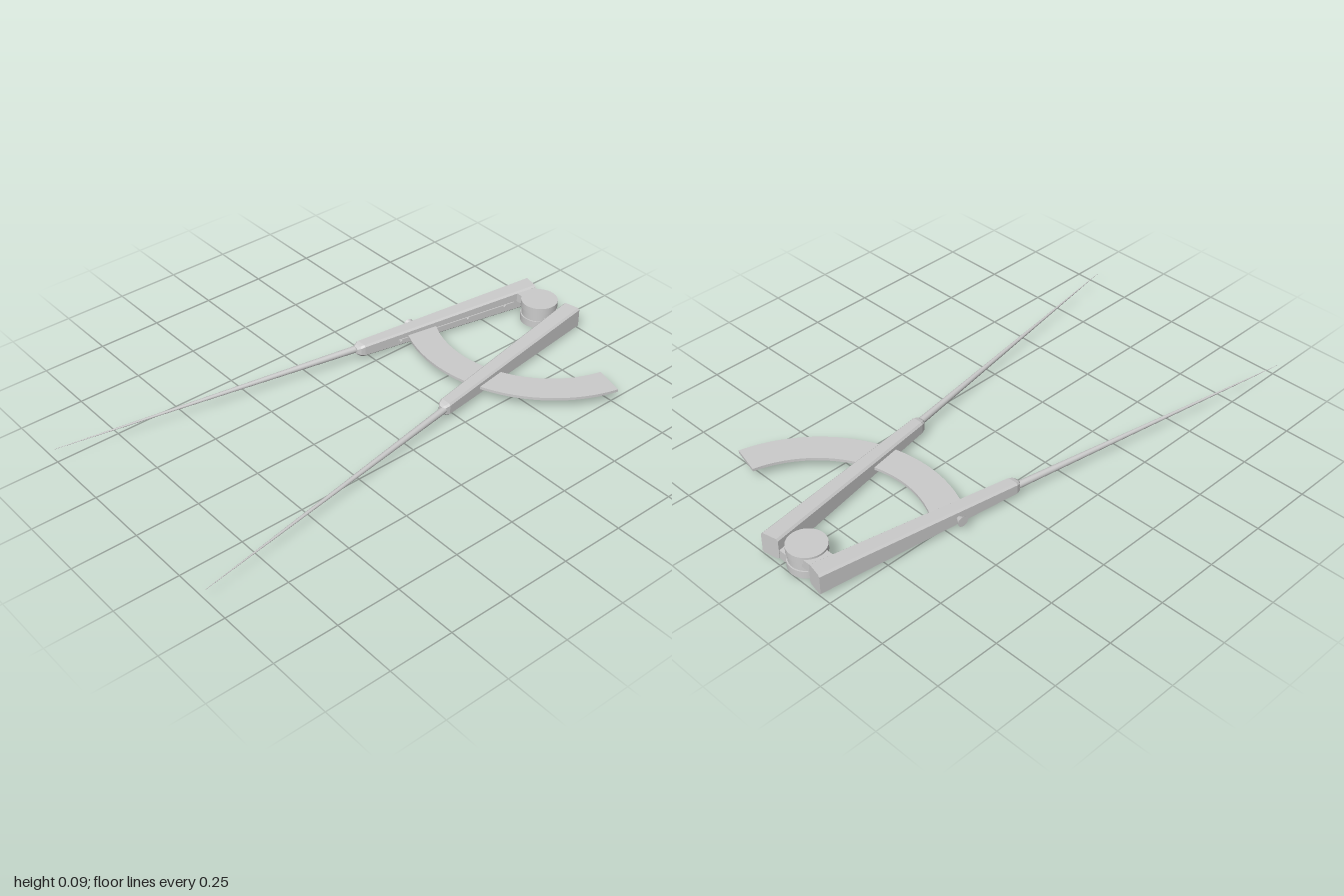
import * as THREE from 'three';

const AXIS = -0.058; // mirror axis of the two legs, through the hinge
const MID = 0.05;    // height of the middle plane
const HINGE_Z = -0.928;

const material = new THREE.MeshStandardMaterial({ color: 0xcccccc });

function add(parent, name, geometry) {
  const mesh = new THREE.Mesh(geometry, material);
  mesh.name = name;
  parent.add(mesh);
  return mesh;
}

// Cylinder or cone running from point a to point b
function rod(parent, name, a, b, rA, rB, sides = 16) {
  const dir = b.clone().sub(a);
  const mesh = add(parent, name, new THREE.CylinderGeometry(rB, rA, dir.length(), sides));
  mesh.position.copy(a).addScaledVector(dir, 0.5);
  mesh.quaternion.setFromUnitVectors(new THREE.Vector3(0, 1, 0), dir.normalize());
  return mesh;
}

// Tapered bar with chamfered edges, lofted through cross-sections
function legGeometry(side) {
  // [outer z, outer offset, inner z, inner offset, half height]
  const sections = [
    [-1.0, 0.148, -0.985, 0.078, 0.043],
    [-0.215, 0.264, -0.215, 0.213, 0.025],
    [-0.2, 0.261, -0.2, 0.219, 0.021],
    [-0.19, 0.252, -0.19, 0.23, 0.014],
  ];
  const positions = [];
  for (const [zo, uo, zi, ui, h] of sections) {
    const c = Math.min(0.007, h * 0.4);
    const ring = [
      [uo, -h + c], [uo, h - c], [uo - c, h], [ui + c, h],
      [ui, h - c], [ui, -h + c], [ui + c, -h], [uo - c, -h],
    ];
    for (const [u, y] of ring) {
      const t = (u - ui) / (uo - ui);
      positions.push(AXIS + side * u, MID + y, zi + (zo - zi) * t);
    }
  }
  const index = [];
  const face = (a, b, c) => (side > 0 ? index.push(a, b, c) : index.push(a, c, b));
  for (let i = 0; i < sections.length - 1; i++) {
    for (let j = 0; j < 8; j++) {
      const a = i * 8 + j, b = i * 8 + (j + 1) % 8;
      face(a, b, b + 8);
      face(a, b + 8, a + 8);
    }
  }
  const last = (sections.length - 1) * 8;
  for (let j = 1; j < 7; j++) {
    face(0, j + 1, j);
    face(last, last + j, last + j + 1);
  }
  const geometry = new THREE.BufferGeometry();
  geometry.setAttribute('position', new THREE.Float32BufferAttribute(positions, 3));
  geometry.setIndex(index);
  const flat = geometry.toNonIndexed();
  flat.computeVertexNormals();
  return flat;
}

// Flat curved bar
function arcGeometry() {
  const start = THREE.MathUtils.degToRad(14), end = THREE.MathUtils.degToRad(120);
  const shape = new THREE.Shape();
  shape.absarc(0, 0, 0.543, start, end, false);
  shape.absarc(0, 0, 0.423, end, start, true);
  shape.closePath();
  const geometry = new THREE.ExtrudeGeometry(shape, { depth: 0.011, bevelEnabled: false, curveSegments: 32 });
  geometry.rotateX(Math.PI / 2); // shape y becomes +z, thickness goes down
  geometry.translate(-0.01, 0.058, -0.895);
  return geometry;
}

export function createModel() {
  const model = new THREE.Group();
  model.name = 'dividers';

  // Legs, needles and hinge lugs, mirrored about the hinge
  for (const side of [1, -1]) {
    const leg = new THREE.Group();
    leg.name = side > 0 ? 'leftLeg' : 'rightLeg';
    model.add(leg);
    add(leg, 'legBar', legGeometry(side));
    rod(leg, 'needle',
      new THREE.Vector3(AXIS + side * 0.243, MID, -0.23),
      new THREE.Vector3(AXIS + side * 0.457, MID, 1.0), 0.014, 0.0008);
    // one lug sits high, the other low, so they overlap at the pivot
    const lug = add(leg, 'hingeLug', new THREE.BoxGeometry(0.11, 0.036, 0.085));
    lug.position.set(AXIS + side * 0.05, side > 0 ? 0.028 : 0.067, -0.94);
  }

  // Hinge drum: two caps on a slightly narrower core
  const hinge = new THREE.Group();
  hinge.name = 'hinge';
  hinge.position.set(AXIS, 0, HINGE_Z);
  model.add(hinge);
  for (const [name, radius, y0, y1] of [
    ['bottomCap', 0.072, 0.003, 0.032],
    ['core', 0.067, 0.03, 0.068],
    ['topCap', 0.072, 0.066, 0.093],
  ]) {
    add(hinge, name, new THREE.CylinderGeometry(radius, radius, y1 - y0, 40)).position.y = (y0 + y1) / 2;
  }

  // Curved bar passing through the legs
  add(model, 'arcBar', arcGeometry());

  // Thumb screw on the outside of the right leg
  rod(model, 'thumbScrew', new THREE.Vector3(-0.278, MID, -0.459),
    new THREE.Vector3(-0.309, MID, -0.464), 0.006, 0.02);

  // Thin spring strip and rivets on the inside of the right leg
  const innerX = (z) => AXIS - (0.078 + (z + 0.985) * 0.1753);
  const strip = add(model, 'springStrip', new THREE.BoxGeometry(0.004, 0.012, 0.53));
  strip.position.set(innerX(-0.62) + 0.002, MID - 0.004, -0.62);
  strip.rotation.y = -Math.atan(0.1753);
  for (const z of [-0.84, -0.67, -0.37]) {
    rod(model, 'rivet', new THREE.Vector3(innerX(z) - 0.004, MID - 0.005, z),
      new THREE.Vector3(innerX(z) + 0.009, MID - 0.005, z + 0.002), 0.007, 0.006, 10);
  }

  return model;
}
